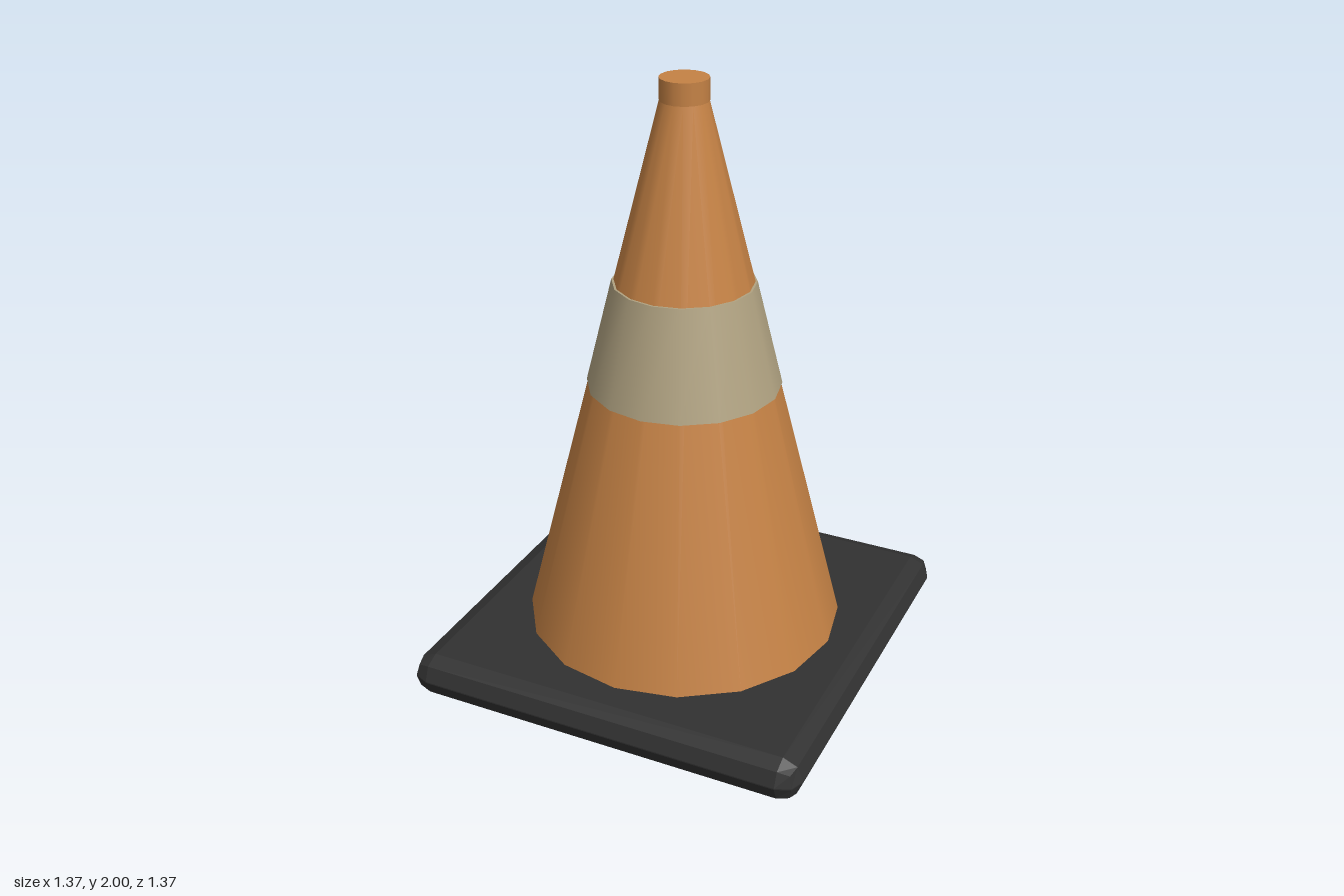
import * as THREE from 'three';
import { RoundedBoxGeometry } from 'three/addons/geometries/RoundedBoxGeometry.js';

const SIDES = 16;

function material(name, color) {
  const m = new THREE.MeshStandardMaterial({ color });
  m.name = name;
  return m;
}

export function createModel() {
  const group = new THREE.Group();
  group.name = 'trafficCone';

  const orange = material('orange', 0xc58245);
  const beige = material('beige', 0xb0a281);
  const black = material('black', 0x313131);

  const add = (name, geometry, mat, y) => {
    const mesh = new THREE.Mesh(geometry, mat);
    mesh.name = name;
    mesh.position.y = y;
    group.add(mesh);
  };

  // Tapered section between two heights
  const section = (name, mat, y0, r0, y1, r1) =>
    add(name, new THREE.CylinderGeometry(r1, r0, y1 - y0, SIDES), mat, (y0 + y1) / 2);

  // Square foot with chamfered, faceted edges
  const foot = new RoundedBoxGeometry(1.37, 0.14, 1.37, 1, 0.068);
  foot.computeVertexNormals();
  add('base', foot, black, 0.07);

  // Cone body, its straight tip and the slightly raised band
  section('coneBody', orange, 0.13, 0.532, 1.93, 0.076);
  section('tip', orange, 1.93, 0.077, 2, 0.077);
  section('band', beige, 1.0, 0.316, 1.35, 0.23);

  return group;
}
